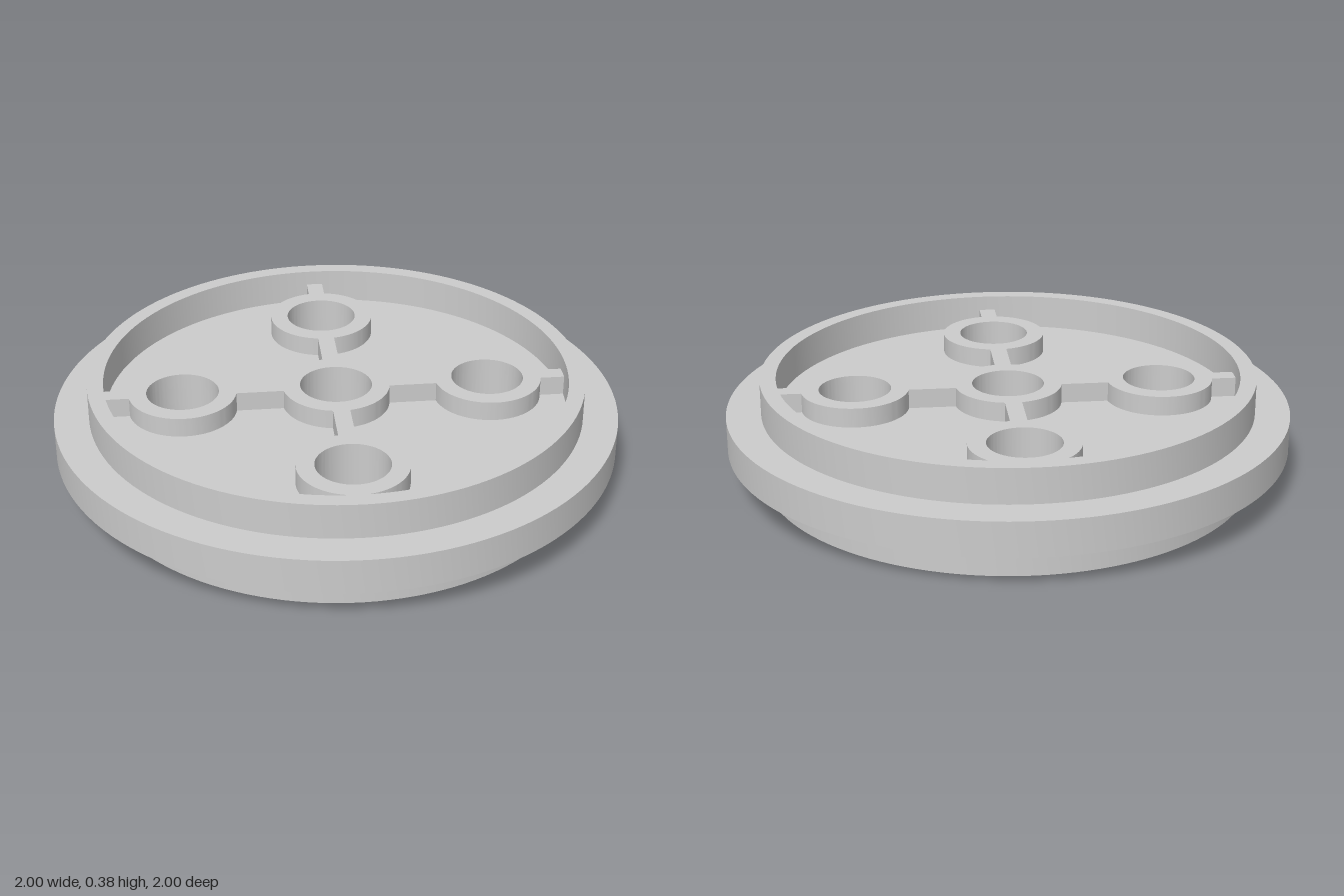
import * as THREE from 'three';
import { toCreasedNormals } from 'three/addons/utils/BufferGeometryUtils.js';

const material = new THREE.MeshStandardMaterial({ color: 0xcccccc });

const RIM_INNER = 0.82, RIM_OUTER = 0.877, FLANGE = 1;
const HEIGHT = 0.375, WEB_BOTTOM = 0.125, WEB_TOP = 0.25;
const BOSS_BOTTOM = 0.055, BOSS_TOP = 0.32;
const BOSS_R = 0.191, HOLE_R = 0.128, BOSS_OFFSET = 0.385;
const RIB_WIDTH = 0.06;

function addMesh(parent, name, geometry) {
  const mesh = new THREE.Mesh(geometry, material);
  mesh.name = name;
  parent.add(mesh);
  return mesh;
}

// Upright round plate between two heights; holes are [x, z, radius]
function plate(radius, holes, bottom, top) {
  const shape = new THREE.Shape().absarc(0, 0, radius, 0, Math.PI * 2, false);
  for (const [x, z, r] of holes) {
    shape.holes.push(new THREE.Path().absarc(x, -z, r, 0, Math.PI * 2, true));
  }
  const geometry = new THREE.ExtrudeGeometry(shape, {
    depth: top - bottom, bevelEnabled: false, curveSegments: 64,
  });
  geometry.rotateX(-Math.PI / 2).translate(0, bottom, 0);
  return toCreasedNormals(geometry, Math.PI / 6);
}

export function createModel() {
  const model = new THREE.Group();
  model.name = 'flangedWheel';

  // Rim with the wider flange around its middle
  const profile = [
    [RIM_INNER, 0], [RIM_OUTER, 0], [RIM_OUTER, WEB_BOTTOM], [FLANGE, WEB_BOTTOM],
    [FLANGE, WEB_TOP], [RIM_OUTER, WEB_TOP], [RIM_OUTER, HEIGHT], [RIM_INNER, HEIGHT],
    [RIM_INNER, 0],
  ].map(([r, y]) => new THREE.Vector2(r, y));
  addMesh(model, 'flangedRim', toCreasedNormals(new THREE.LatheGeometry(profile, 128), Math.PI / 6));

  // Central hub and four outer bosses, each with a through hole
  const centres = [[0, 0]];
  for (const sx of [-1, 1]) for (const sz of [-1, 1]) centres.push([sx * BOSS_OFFSET, sz * BOSS_OFFSET]);

  // Web disc closing the rim, opened where the bosses pass through
  const openings = centres.map(([x, z]) => [x, z, BOSS_R - 0.002]);
  addMesh(model, 'web', plate(RIM_INNER + 0.002, openings, WEB_BOTTOM, WEB_TOP));

  const bossGeometry = plate(BOSS_R, [[0, 0, HOLE_R]], BOSS_BOTTOM, BOSS_TOP);
  centres.forEach(([x, z], i) => {
    addMesh(model, i === 0 ? 'hub' : 'boss', bossGeometry).position.set(x, 0, z);
  });

  // Diagonal ribs: hub to boss, then boss to rim
  const bossRadius = BOSS_OFFSET * Math.SQRT2, sink = 0.004;
  const spans = [
    ['innerRib', BOSS_R - sink, bossRadius - BOSS_R + sink],
    ['outerRib', bossRadius + BOSS_R - sink, RIM_INNER + sink],
  ];
  for (let i = 0; i < 4; i++) {
    const spoke = new THREE.Group();
    spoke.name = 'spoke';
    spoke.rotation.y = Math.PI / 4 + i * Math.PI / 2;
    for (const [name, start, end] of spans) {
      const geometry = new THREE.BoxGeometry(end - start, BOSS_TOP - BOSS_BOTTOM, RIB_WIDTH);
      addMesh(spoke, name, geometry).position.set((start + end) / 2, (BOSS_TOP + BOSS_BOTTOM) / 2, 0);
    }
    model.add(spoke);
  }
  return model;
}
